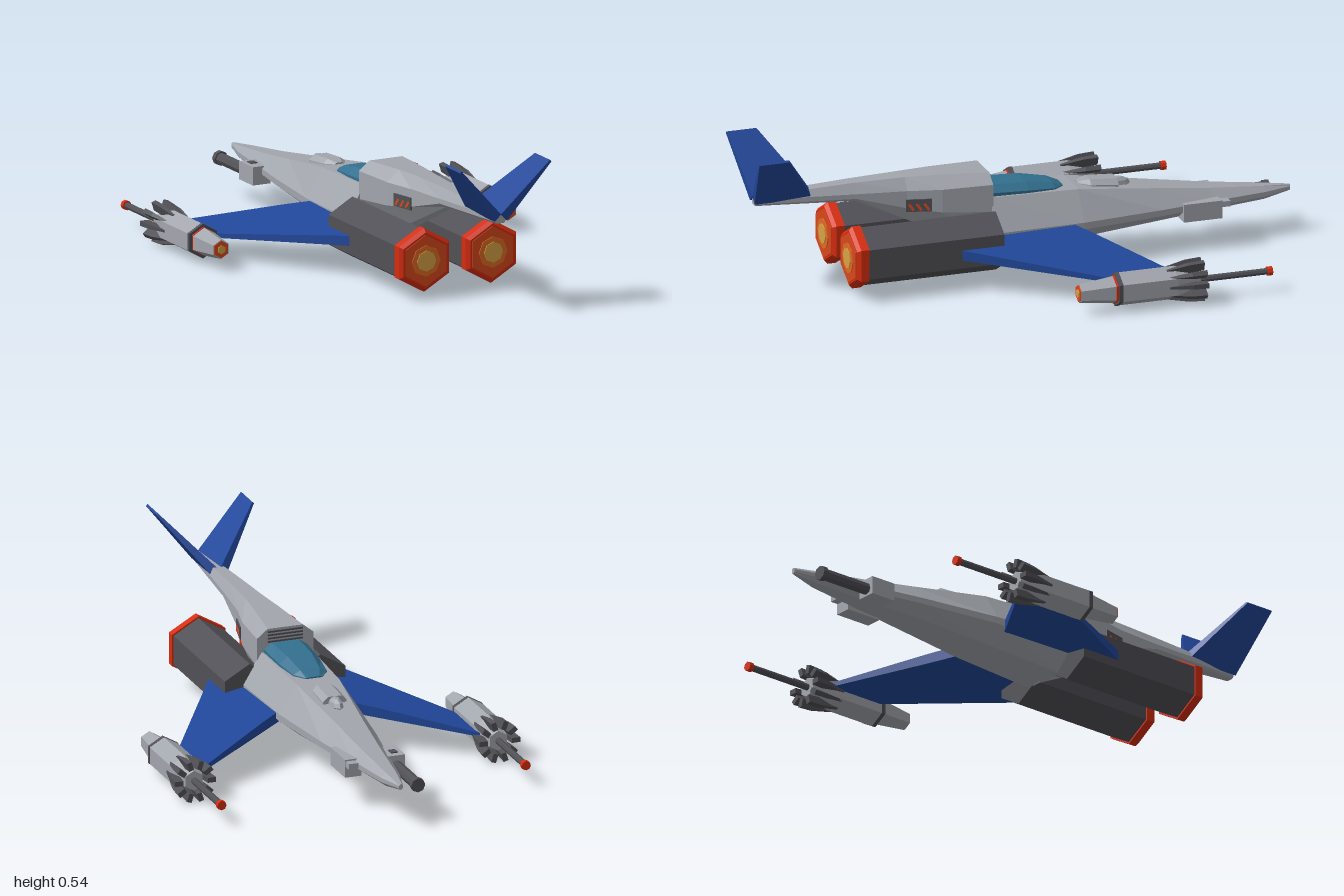
import * as THREE from 'three';

const paint = (name, color) => {
  const m = new THREE.MeshStandardMaterial({ color });
  m.name = name;
  return m;
};

export function createModel() {
  const model = new THREE.Group();
  const hullGrey = paint('hull grey', 0xa2a6ad);
  const darkGrey = paint('dark grey', 0x505056);
  const blue = paint('wing blue', 0x21479a);
  const glass = paint('canopy glass', 0x33708f);
  const red = paint('red', 0xd62c0e);
  const ember = paint('ember orange', 0xd8481c);
  const orange = paint('orange', 0xe06a22);
  const yellow = paint('glow yellow', 0xd8a346);

  function add(parent, name, geo, mat, x = 0, y = 0, z = 0) {
    const flat = geo.index ? geo.toNonIndexed() : geo;
    flat.computeVertexNormals();
    const mesh = new THREE.Mesh(flat, mat);
    mesh.name = name;
    mesh.position.set(x, y, z);
    parent.add(mesh);
    return mesh;
  }

  // Cylinder along z between z0 and z1
  function tube(z0, r0, z1, r1, sides = 6) {
    return new THREE.CylinderGeometry(r1, r0, z1 - z0, sides)
      .rotateX(Math.PI / 2).translate(0, 0, (z0 + z1) / 2);
  }

  // Capped loft through rings of 3D points, wound outward
  function loft(rings) {
    const tris = [], n = rings[0].length;
    for (let i = 0; i < rings.length - 1; i++) {
      for (let j = 0; j < n; j++) {
        const k = (j + 1) % n, a = rings[i], b = rings[i + 1];
        tris.push([a[j], a[k], b[k]], [a[j], b[k], b[j]]);
      }
    }
    const first = rings[0], last = rings[rings.length - 1];
    for (let j = 1; j < n - 1; j++) {
      tris.push([first[0], first[j + 1], first[j]], [last[0], last[j], last[j + 1]]);
    }
    const v = (p) => new THREE.Vector3(...p);
    const volume = tris.reduce((s, [a, b, c]) => s + v(a).dot(v(b).cross(v(c))), 0);
    if (volume < 0) tris.forEach((t) => t.reverse());
    const geo = new THREE.BufferGeometry();
    geo.setAttribute('position', new THREE.Float32BufferAttribute(tris.flat(2), 3));
    return geo;
  }

  // Symmetric eight-sided body section
  const section = ([z, topW, top, w, high, low, botW, bot]) => [
    [botW, bot, z], [w, low, z], [w, high, z], [topW, top, z],
    [-topW, top, z], [-w, high, z], [-w, low, z], [-botW, bot, z]];

  // Fuselage: z, top half-width, top, half-width, upper side, lower side, bottom half-width, bottom
  add(model, 'fuselage', loft([
    [-1, 0.004, 0.174, 0.007, 0.168, 0.16, 0.004, 0.154],
    [-0.9, 0.018, 0.185, 0.035, 0.168, 0.152, 0.018, 0.137],
    [-0.7, 0.034, 0.207, 0.068, 0.17, 0.15, 0.035, 0.127],
    [-0.5, 0.05, 0.235, 0.102, 0.172, 0.15, 0.055, 0.117],
    [-0.2, 0.078, 0.277, 0.142, 0.175, 0.15, 0.075, 0.097],
    [0.125, 0.088, 0.288, 0.155, 0.178, 0.15, 0.08, 0.08],
  ].map(section)), hullGrey);

  // Spine running back to the tail boom
  add(model, 'spine', loft([
    [0.12, 0.065, 0.372, 0.105, 0.34, 0.24, 0.045, 0.08],
    [0.3, 0.046, 0.379, 0.09, 0.338, 0.255, 0.036, 0.17],
    [0.42, 0.034, 0.38, 0.062, 0.338, 0.275, 0.03, 0.226],
    [0.6, 0.025, 0.378, 0.045, 0.342, 0.325, 0.022, 0.31],
    [0.96, 0.014, 0.365, 0.02, 0.355, 0.338, 0.014, 0.331],
  ].map(section)), hullGrey);
  for (let i = 0; i < 4; i++) {
    add(model, 'spineGrille', new THREE.BoxGeometry(0.13, 0.006, 0.006), darkGrey, 0, 0.325 + i * 0.012, 0.119);
  }

  // Canopy
  add(model, 'canopy', loft([
    [-0.16, 0.02, 0.283, 0.03, 0.281, 0.27, 0.03, 0.26],
    [-0.12, 0.036, 0.298, 0.062, 0.284, 0.27, 0.06, 0.26],
    [-0.02, 0.045, 0.316, 0.075, 0.292, 0.275, 0.075, 0.26],
    [0.122, 0.05, 0.32, 0.08, 0.3, 0.28, 0.08, 0.26],
  ].map(section)), glass);

  // Sensor blister ahead of the canopy
  add(model, 'sensorHousing', loft([
    [-0.36, 0.025, 0.28, 0.044, 0.262, 0.24, 0.044, 0.23],
    [-0.26, 0.024, 0.287, 0.044, 0.272, 0.25, 0.044, 0.23],
    [-0.22, 0.01, 0.28, 0.018, 0.275, 0.25, 0.018, 0.23],
  ].map(section)), hullGrey);
  add(model, 'sensorEye', new THREE.SphereGeometry(1, 8, 6).scale(0.025, 0.028, 0.055), hullGrey, 0, 0.252, -0.36);

  // Nose gun on the right, sensor box on the left
  add(model, 'noseGunMount', new THREE.BoxGeometry(0.07, 0.065, 0.1), hullGrey, -0.08, 0.148, -0.69);
  add(model, 'noseGunPort', new THREE.BoxGeometry(0.025, 0.004, 0.03), darkGrey, -0.085, 0.182, -0.7);
  add(model, 'noseGunBarrel', tube(-0.94, 0.021, -0.7, 0.021, 8), darkGrey, -0.083, 0.142, 0);
  add(model, 'noseGunMuzzle', tube(-0.95, 0.026, -0.93, 0.026, 8), darkGrey, -0.083, 0.142, 0);
  add(model, 'noseBox', new THREE.BoxGeometry(0.06, 0.065, 0.14), hullGrey, 0.07, 0.148, -0.65);
  add(model, 'noseBoxPod', new THREE.BoxGeometry(0.035, 0.02, 0.04), hullGrey, 0.08, 0.165, -0.73);

  for (const s of [1, -1]) {
    // Main engines with glowing nozzles
    const engine = new THREE.Group();
    engine.name = s > 0 ? 'leftEngine' : 'rightEngine';
    engine.position.set(s * 0.131, 0.145, 0);
    model.add(engine);
    add(engine, 'engineBody', tube(0.12, 0.107, 0.625, 0.107), darkGrey);
    add(engine, 'nozzleRim', tube(0.615, 0.114, 0.645, 0.114), red);
    add(engine, 'nozzleLip', tube(0.645, 0.114, 0.657, 0.1), red);
    add(engine, 'nozzleGlow', tube(0.65, 0.092, 0.66, 0.092), ember);
    add(engine, 'nozzleInnerGlow', tube(0.655, 0.056, 0.663, 0.056, 8), orange);
    add(engine, 'nozzleCore', tube(0.658, 0.037, 0.666, 0.037, 8), yellow);

    // Swept, drooping wing
    const wingRing = (x, y, z0, z1, t) => [
      [s * x, y - t, z0], [s * x, y + t, z0], [s * x, y + t, z1], [s * x, y - t, z1]];
    add(model, 'wing', loft([
      wingRing(0.1, 0.16, -0.14, 0.44, 0.02),
      wingRing(0.22, 0.14, -0.217, 0.28, 0.018),
      wingRing(0.52, 0.087, -0.413, -0.2, 0.007),
    ]), blue);

    // Splayed tail fin
    const finRing = (x, y, z0, z1, t) => [
      [s * (x - t), y - t, z0], [s * (x + t), y - t, z0], [s * (x + t), y - t, z1],
      [s * (x - t), y + t, z1], [s * (x - t), y + t, z0]];
    const quad = ([a, b, c, d, e]) => [a, e, d, c];
    add(model, 'tailFin', loft([
      quad(finRing(0.012, 0.352, 0.755, 0.965, 0.012)),
      quad(finRing(0.176, 0.543, 0.89, 1, 0.003)),
    ].map(([a, e, d, c]) => [[c[0], c[1], a[2]], e, d, c])), blue);

    // Exhaust vents on the spine sides
    const vent = new THREE.Group();
    vent.name = 'sideVent';
    vent.position.set(s * 0.0725, 0.285, 0.38);
    vent.rotation.y = -s * 0.23;
    model.add(vent);
    add(vent, 'ventPanel', new THREE.BoxGeometry(0.006, 0.045, 0.09), darkGrey);
    for (let i = -1; i < 2; i++) {
      add(vent, 'ventSlot', new THREE.BoxGeometry(0.009, 0.028, 0.009).rotateX(0.6), ember, 0, -0.006, i * 0.027);
    }

    // Wingtip cannon
    const cannon = new THREE.Group();
    cannon.name = s > 0 ? 'leftCannon' : 'rightCannon';
    cannon.position.set(s * 0.563, 0.08, 0);
    model.add(cannon);
    add(cannon, 'cannonBody', tube(-0.38, 0.061, -0.18, 0.061), hullGrey);
    add(cannon, 'cannonFront', tube(-0.47, 0.036, -0.38, 0.061), hullGrey);
    add(cannon, 'cannonCollar', tube(-0.18, 0.062, -0.165, 0.062), darkGrey);
    add(cannon, 'cannonRedBand', tube(-0.167, 0.052, -0.158, 0.052), red);
    add(cannon, 'cannonTail', tube(-0.16, 0.05, -0.035, 0.034), hullGrey);
    add(cannon, 'cannonTailGlow', tube(-0.04, 0.031, -0.032, 0.031), ember);
    add(cannon, 'cannonTailCore', tube(-0.036, 0.016, -0.029, 0.016), yellow);
    add(cannon, 'barrel', tube(-0.73, 0.012, -0.46, 0.012, 8), darkGrey);
    add(cannon, 'barrelTip', tube(-0.74, 0.017, -0.722, 0.017, 8), red);
    const prongRing = (z, r0, r1, t) => [[r0, -t, z], [r1, -t, z], [r1, t, z], [r0, t, z]];
    for (let i = 0; i < 10; i++) {
      const prong = add(cannon, 'coolingProng', loft([
        prongRing(-0.485, 0.045, 0.076, 0.009),
        prongRing(-0.43, 0.038, 0.073, 0.008),
        prongRing(-0.35, 0.04, 0.056, 0.004),
      ]), darkGrey);
      prong.rotation.z = i * Math.PI / 5;
    }
  }
  return model;
}
